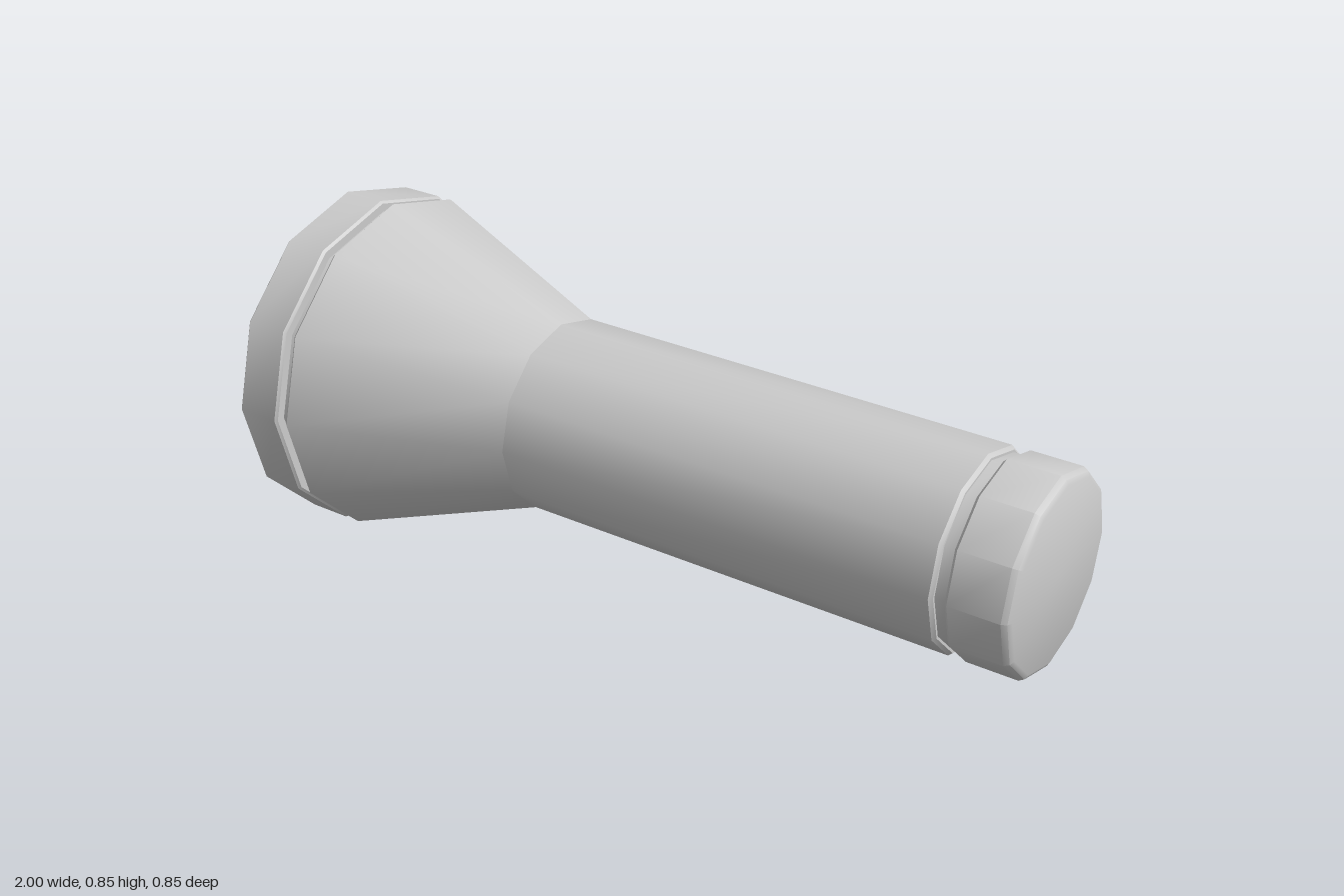
import * as THREE from 'three';
import { toCreasedNormals } from 'three/addons/utils/BufferGeometryUtils.js';

const SIDES = 12;
const CENTRE_Y = 0.43;

// Turns a profile of [x, radius] pairs around the long axis
function turned(name, profile) {
  const points = profile.map(([x, r]) => new THREE.Vector2(r, x));
  const geometry = new THREE.LatheGeometry(points, SIDES);
  geometry.rotateZ(-Math.PI / 2);
  const mesh = new THREE.Mesh(
    toCreasedNormals(geometry, 0.62),
    new THREE.MeshStandardMaterial({ color: 0xcccccc, side: THREE.DoubleSide })
  );
  mesh.name = name;
  mesh.position.y = CENTRE_Y;
  return mesh;
}

export function createModel() {
  const group = new THREE.Group();
  group.name = 'flashlight';

  // Domed lens, its edge sunk inside the rim
  const lens = [];
  for (let i = 0; i <= 6; i++) {
    const r = 0.36 * i / 6;
    lens.push([-1 + 0.62 * r * r, r]);
  }
  group.add(turned('lens', lens));

  // Rim with sloped inner wall
  group.add(turned('lensRim', [
    [-0.92, 0.355], [-0.968, 0.385], [-0.975, 0.392], [-0.975, 0.42],
    [-0.968, 0.427], [-0.86, 0.427], [-0.854, 0.421], [-0.854, 0.4],
  ]));

  // Groove between rim and head
  group.add(turned('headGroove', [[-0.856, 0.4], [-0.826, 0.4]]));

  // Flared head
  group.add(turned('head', [
    [-0.828, 0.4], [-0.828, 0.42], [-0.82, 0.427], [-0.81, 0.424], [-0.31, 0.238],
  ]));

  // Straight handle
  group.add(turned('handle', [
    [-0.31, 0.238], [0.815, 0.238], [0.823, 0.23], [0.823, 0.222],
  ]));

  // Groove between handle and tail cap
  group.add(turned('tailGroove', [[0.821, 0.224], [0.852, 0.224]]));

  // Tail cap with bevelled end
  group.add(turned('tailCap', [
    [0.85, 0.222], [0.85, 0.23], [0.858, 0.238], [0.982, 0.238],
    [0.994, 0.231], [1, 0.22], [1, 0],
  ]));

  return group;
}
